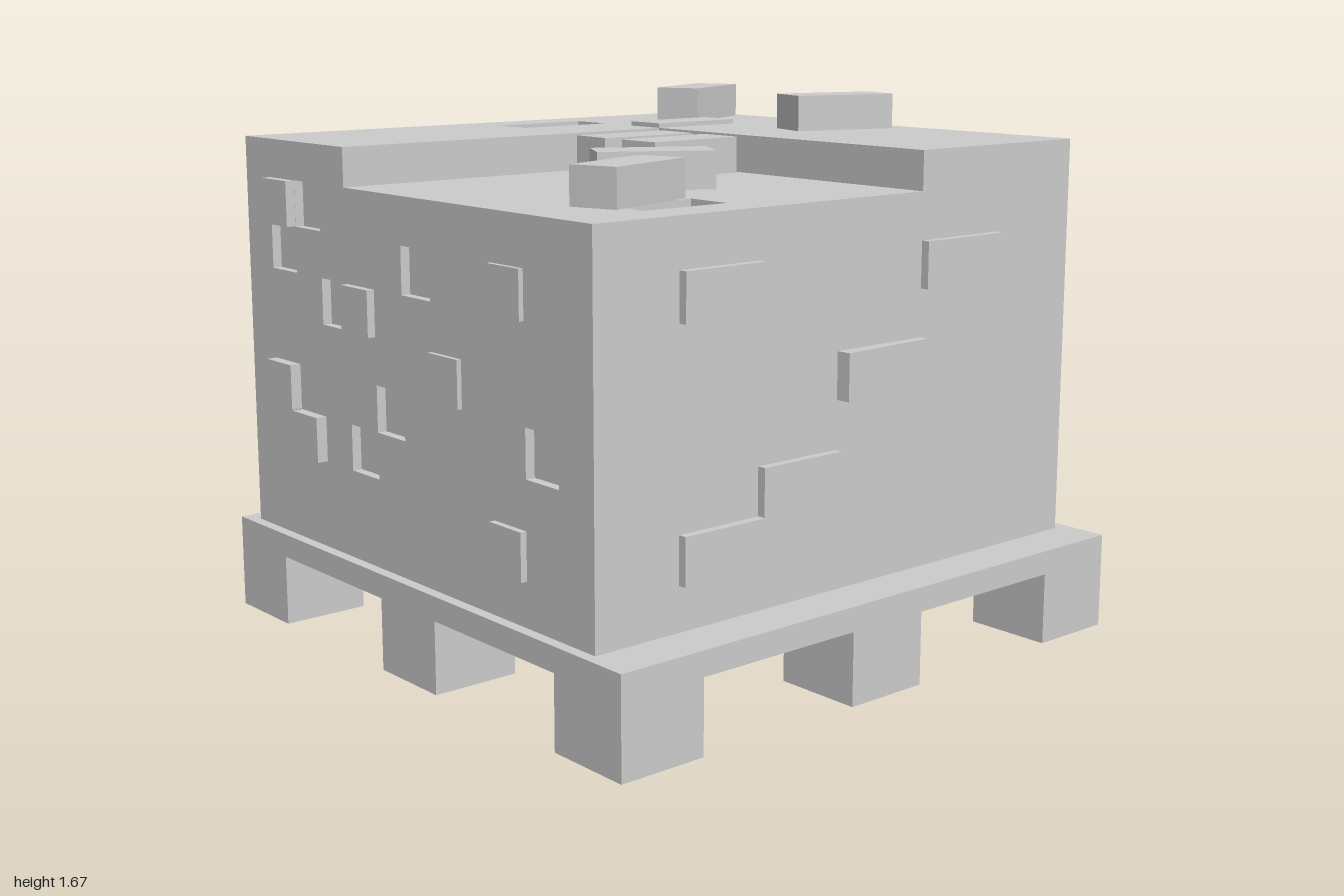
import * as THREE from 'three';

const material = new THREE.MeshStandardMaterial({ color: 0xcccccc, flatShading: true });

// Box from its minimum and maximum corners
function block(parent, name, min, max) {
  const size = max.map((v, i) => v - min[i]);
  const mesh = new THREE.Mesh(new THREE.BoxGeometry(...size), material);
  mesh.name = name;
  mesh.position.set(...min.map((v, i) => (v + max[i]) / 2));
  parent.add(mesh);
  return mesh;
}

// Flat slab from an outline, with rectangular pockets [x0, y0, x1, y1]
function plate(parent, name, outline, holes, depth) {
  const points = (list) => list.map(([x, y]) => new THREE.Vector2(x, y));
  const shape = new THREE.Shape(points(outline));
  for (const [x0, y0, x1, y1] of holes) {
    shape.holes.push(new THREE.Path(points([[x0, y0], [x0, y1], [x1, y1], [x1, y0]])));
  }
  const geometry = new THREE.ExtrudeGeometry(shape, { depth, bevelEnabled: false });
  const mesh = new THREE.Mesh(geometry, material);
  mesh.name = name;
  parent.add(mesh);
  return mesh;
}

// Stack limits and the brick grid
const X0 = -0.93, X1 = 0.845, Z0 = -0.945, Z1 = 0.96;
const BASE = 0.3, STEP = 1.44, TOP = 1.56, SKIN = 0.03;
const STEP_X = -0.345, STEP_Z = -0.27;
const column = (i) => X0 + (i * (X1 - X0)) / 12;
const row = (j) => 0.4325 + j * 0.144;
const zEdges = [-0.605, -0.27, 0.075, 0.38, 0.67];
const pocket = ([i, j]) => [column(i), row(j), column(i + 1), row(j + 1)];

function buildPallet() {
  const pallet = new THREE.Group();
  pallet.name = 'pallet';
  block(pallet, 'palletDeck', [-0.995, 0.225, -0.995], [0.995, BASE, 0.995]);
  for (const x of [-0.853, 0, 0.853]) {
    for (const z of [-0.853, 0, 0.853]) {
      block(pallet, 'palletFoot', [x - 0.142, 0, z - 0.142], [x + 0.142, 0.225, z + 0.142]);
    }
  }
  return pallet;
}

function buildStack() {
  const stack = new THREE.Group();
  stack.name = 'brickStack';
  const zb = Z0 + SKIN, zf = Z1 - SKIN;
  block(stack, 'stackCore', [X0, BASE, zb], [X1, 1.38, zf]);

  // Front and back skins with sunken bricks, as [column, row]
  const frontSunken = [[2, 6], [1, 5], [3, 4], [6, 5], [5, 2], [4, 1], [11 - 1, 2]];
  const backSunken = [[3, 6], [1, 6], [6, 4], [2, 4], [6, 1], [3, 2], [2, 1]];
  const front = plate(stack, 'frontSkin',
    [[X0, BASE], [X1, BASE], [X1, STEP], [STEP_X, STEP], [STEP_X, TOP], [X0, TOP]],
    frontSunken.map(pocket), SKIN);
  front.position.z = zf;
  const back = plate(stack, 'backSkin',
    [[X0, BASE], [X1, BASE], [X1, TOP], [X0, TOP]], backSunken.map(pocket), SKIN);
  back.position.z = Z0;

  // Lower terrace and the L-shaped top course, laid flat
  const terrace = plate(stack, 'lowerTerrace',
    [[X0, zb], [X1, zb], [X1, zf], [X0, zf]], [[0.555, 0.375, 0.705, 0.67]], 0.06);
  terrace.rotation.x = Math.PI / 2;
  terrace.position.y = STEP;
  const course = plate(stack, 'topCourse',
    [[X0, zb], [X1, zb], [X1, STEP_Z], [STEP_X, STEP_Z], [STEP_X, zf], [X0, zf]],
    [[-0.785, -0.27, -0.635, 0.075]], TOP - STEP);
  course.rotation.x = Math.PI / 2;
  course.position.y = TOP;
  block(stack, 'sunkenTopBrick', [-0.785, STEP, -0.27], [-0.635, 1.54, 0.075]);
  block(stack, 'raisedTopBrick', [-0.49, 1.5, -0.605], [STEP_X, 1.575, STEP_Z]);
  return stack;
}

function buildProudBricks() {
  const bricks = new THREE.Group();
  bricks.name = 'proudBricks';
  const gap = 0.001;

  // Front and back: [column, row, outer z]
  const ends = [
    [1, 6, 0.99], [4, 4, 0.985], [9, 5, 0.975], [7, 3, 0.975], [1, 2, 0.995],
    [2, 1, 0.995], [9, 0, 0.98],
    [5, 6, -0.975], [2, 6, -0.975], [4, 5, -0.975], [1, 5, -0.975],
    [5, 3, -0.995], [1, 3, -0.98], [5, 0, -0.98], [1, 0, -0.975],
  ];
  for (const [i, j, z] of ends) {
    const inner = z > 0 ? Z1 - 0.1 : Z0 + 0.1;
    block(bricks, z > 0 ? 'frontBrick' : 'backBrick',
      [column(i) + gap, row(j) + gap, Math.min(z, inner)],
      [column(i + 1) - gap, row(j + 1) - gap, Math.max(z, inner)]);
  }

  // Both sides: [z cell, row, outer x, twist]
  const sides = [
    [3, 5, 0.872, 0], [0, 5, 0.872, 0], [1, 3, 0.884, 0.04], [2, 1, 0.872, 0], [3, 0, 0.872, 0],
    [0, 5, -0.975, 0], [2, 6, -0.975, 0], [3, 5, -0.972, 0], [3, 2, -0.972, 0],
    [1, 3, -0.975, -0.03], [0, 2, -0.978, 0.05], [1, 1, -0.982, 0], [0, 0, -0.958, 0],
  ];
  for (const [k, j, x, twist] of sides) {
    const inner = x > 0 ? X1 - 0.1 : X0 + 0.1;
    const brick = block(bricks, x > 0 ? 'leftSideBrick' : 'rightSideBrick',
      [Math.min(x, inner), row(j) + gap, zEdges[k] + gap],
      [Math.max(x, inner), row(j + 1) - gap, zEdges[k + 1] - gap]);
    brick.rotation.y = twist;
  }
  return bricks;
}

function buildLooseBricks() {
  const loose = new THREE.Group();
  loose.name = 'looseBricks';
  // [x, floor y, z, turn]
  const places = [
    [-0.652, TOP, -0.712, 0.437], [0.045, TOP, -0.71, -0.29],
    [-0.232, STEP, -0.072, -0.045], [-0.013, STEP, -0.075, 0.04],
    [0.258, STEP, 0.267, -0.52], [0.515, STEP, 0.57, 0.31],
  ];
  for (const [x, y, z, turn] of places) {
    const brick = block(loose, 'looseBrick', [x - 0.077, y, z - 0.177], [x + 0.077, y + 0.115, z + 0.177]);
    brick.rotation.y = turn;
  }
  return loose;
}

export function createModel() {
  const model = new THREE.Group();
  model.name = 'brickPallet';
  model.add(buildPallet(), buildStack(), buildProudBricks(), buildLooseBricks());
  return model;
}
